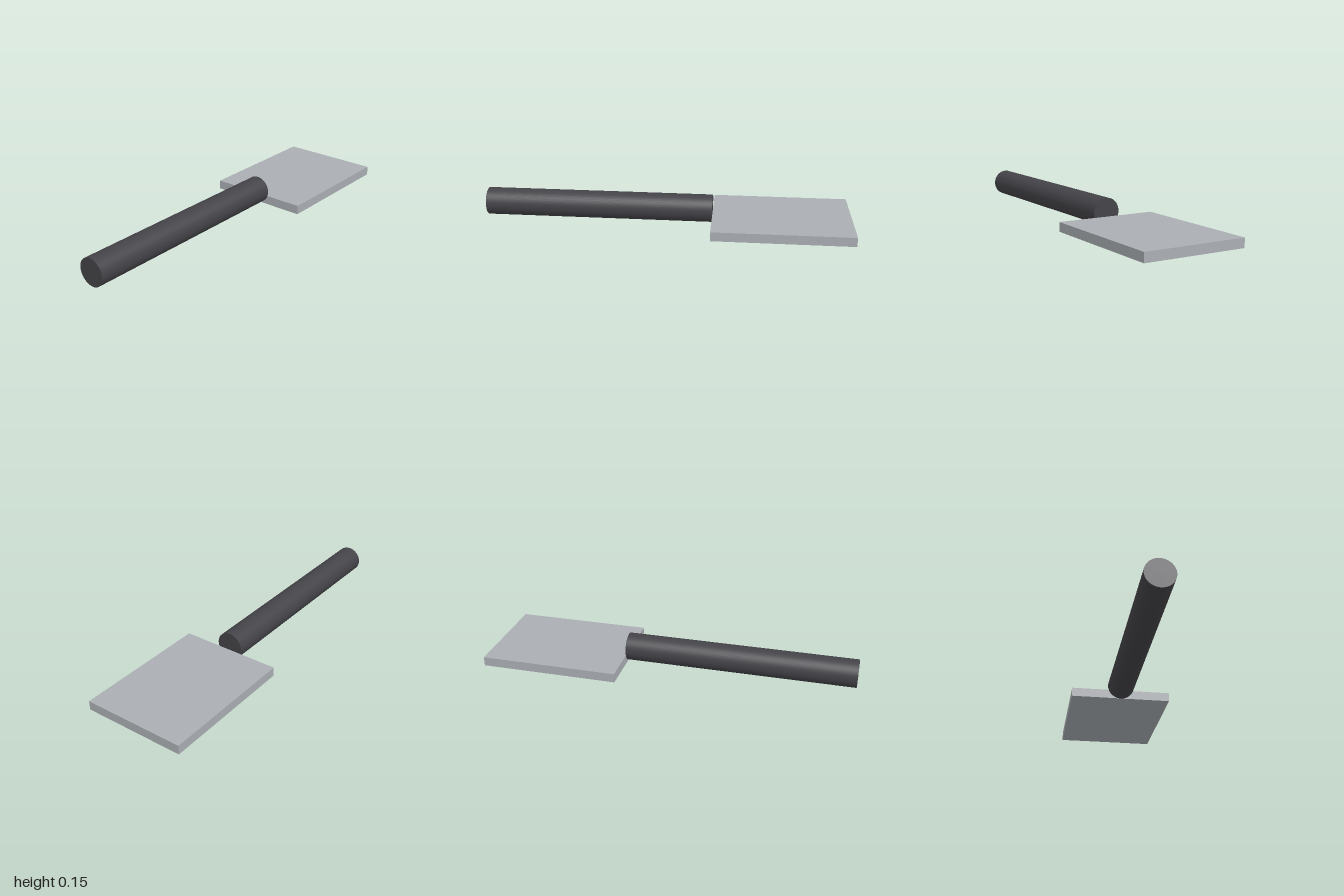
import * as THREE from 'three';

export function createModel() {
  const model = new THREE.Group();
  const steel = new THREE.MeshStandardMaterial({ color: 0xaaaeb3 });
  steel.name = 'steel grey';
  const grip = new THREE.MeshStandardMaterial({ color: 0x444348 });
  grip.name = 'dark grip';

  const joinZ = -0.25; // where the blade meets the handle

  // Flat rectangular blade, resting on the ground
  const bladeLength = joinZ + 1;
  const blade = new THREE.Mesh(new THREE.BoxGeometry(0.563, 0.05, bladeLength), steel);
  blade.name = 'blade';
  blade.position.set(0, 0.025, -1 + bladeLength / 2);
  model.add(blade);

  // Long round handle, laid along z
  const radius = 0.075;
  const handleLength = 1 - joinZ;
  const handleGeometry = new THREE.CylinderGeometry(radius, radius, handleLength, 48);
  handleGeometry.rotateX(Math.PI / 2);
  const handle = new THREE.Mesh(handleGeometry, grip);
  handle.name = 'handle';
  handle.position.set(0, radius, joinZ + handleLength / 2);
  model.add(handle);

  return model;
}
